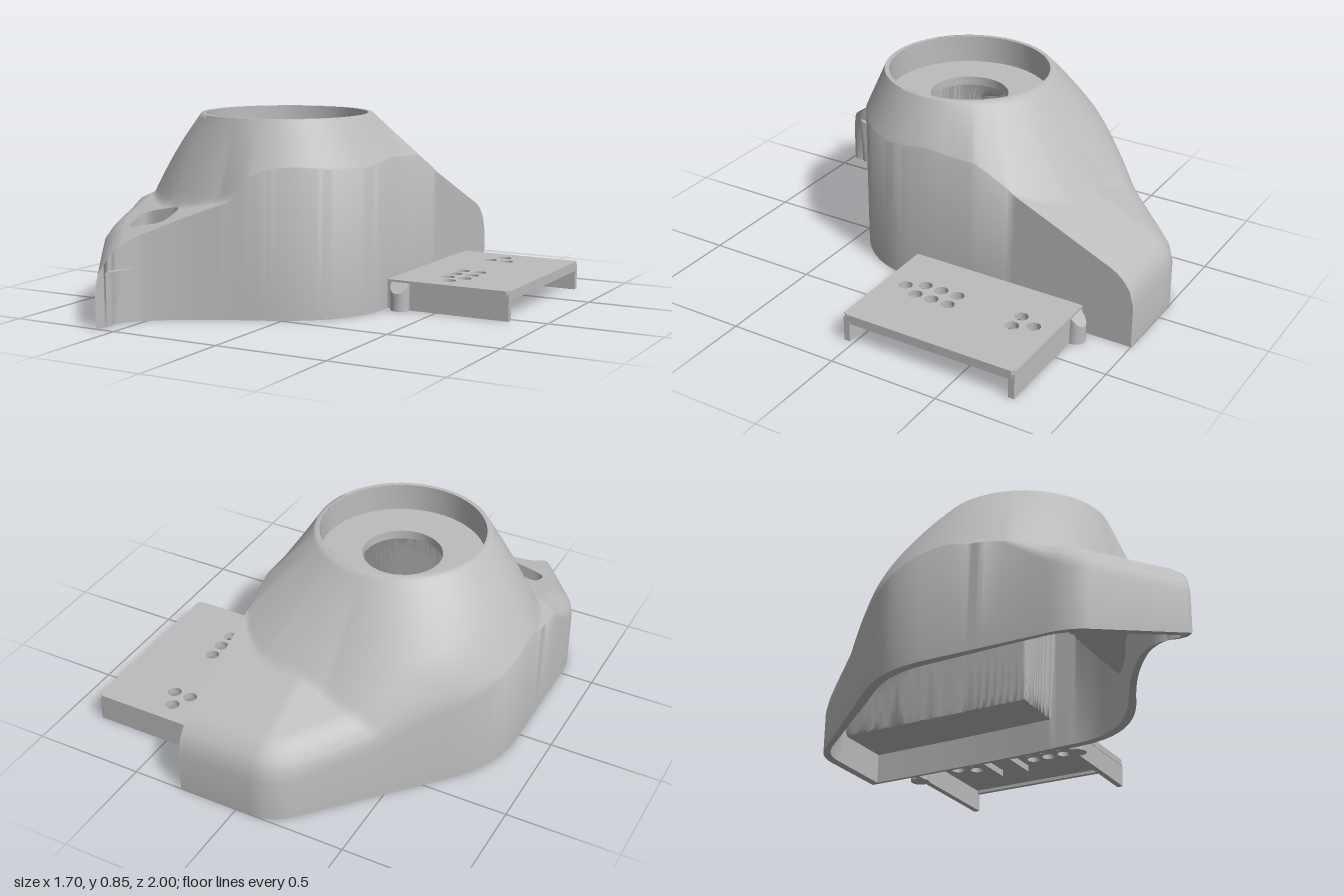
import * as THREE from 'three';
import { toCreasedNormals } from 'three/addons/utils/BufferGeometryUtils.js';

const CX = -0.22, CZ = 0.08;            // axis of the round collar
const LIP = 0.38, BORE = 0.36, HOLE = 0.175, TOP = 0.845;
const slot = { x: -0.565, z: 0.62, a: 0.1, b: 0.07 };
const { smoothstep, mapLinear, lerp, clamp, radToDeg, degToRad } = THREE.MathUtils;

// Cone steepness by angle around the collar axis (degrees, 90 = front)
const SLOPES = [[-180, 1.44], [-135, 1.25], [-90, 1.25], [-65, 1], [-45, 0.88], [-33, 0.95], [-20, 1.37], [0, 1.77],
  [30, 2.05], [80, 2.35], [95, 3.1], [127, 2.2], [158, 1.6], [180, 1.44]];

function slopeAt(deg) {
  let i = 1;
  while (i < SLOPES.length - 1 && deg > SLOPES[i][0]) i++;
  const [a, s] = SLOPES[i - 1], [b, t] = SLOPES[i];
  return mapLinear(deg, a, b, s, t);
}

// Plan outline as (x, z); records where the tail tip and the right wall begin
function makeOutline() {
  const p = new THREE.Path();
  p.moveTo(0.27, -1);
  p.lineTo(-0.07, -1);
  p.quadraticCurveTo(-0.17, -1, -0.24, -0.92);
  p.lineTo(-0.68, -0.43);
  p.bezierCurveTo(-0.79, -0.31, -0.85, -0.2, -0.85, -0.02);
  p.lineTo(-0.85, 0.52);
  p.quadraticCurveTo(-0.85, 0.61, -0.8, 0.68);
  p.lineTo(-0.595, 0.995);
  p.lineTo(-0.572, 0.965);
  p.bezierCurveTo(-0.6, 0.9, -0.56, 0.82, -0.5, 0.77);
  p.bezierCurveTo(-0.4, 0.69, -0.3, 0.63, -0.12, 0.55);
  p.bezierCurveTo(0.1, 0.46, 0.27, 0.33, 0.27, 0.08);
  p.lineTo(0.27, -1);
  const points = [];
  let tip = 0, right = 0;
  p.curves.forEach((c, k) => {
    if (k === 7) tip = points.length;
    if (k === 11) right = points.length;
    points.push(...c.getSpacedPoints(Math.ceil(c.getLength() / 0.02)).slice(0, -1));
  });
  return { points, tip, right };
}

const { points: outline, tip, right } = makeOutline();
const softEdge = outline.slice(0, tip + 1);   // back and left edges are rounded over

// Height of the outer skin: cone or sloping deck, less the edge rounding
function skin(x, z) {
  const dx = x - CX, dz = z - CZ, r = Math.hypot(dx, dz);
  const fall = Math.max(0, slopeAt(radToDeg(Math.atan2(dz, dx))) * (r - LIP));
  const bulge = 0.025 * Math.max(0, -dx / r) * Math.sin(Math.PI * clamp(fall / 0.36, 0, 1));
  const cone = TOP - fall + bulge;
  const front = 0.42 - 0.37 * (z - 0.62) + 0.2 * (x + 0.56);
  const back = 0.47 + 0.45 * (z + 0.62) + 0.25 * Math.min(0, x + 0.1);
  const deck = Math.min(front, back, 0.47 + 0.17 * Math.max(0, x + 0.5));
  let d = 1;
  for (const p of softEdge) d = Math.min(d, Math.hypot(x - p.x, z - p.y));
  const R = 0.11, k = Math.max(0, 1 - d / R);
  const amount = 0.105 * smoothstep(Math.abs(z - 0.05), 0.1, 0.55);
  return Math.max(cone, deck) - amount * (1 - Math.sqrt(1 - k * k));
}

// Underside: follows the skin, but drops to flat ceilings in the tail and beside the tray
function lining(x, z) {
  const open = Math.min(skin(x, z) - 0.04, 0.68);
  const tail = lerp(open, Math.min(open, 0.23), smoothstep(z, 0.35, 0.37));
  const side = smoothstep(x, -0.05, -0.03) * (1 - smoothstep(z, -0.02, 0));
  return lerp(tail, Math.min(tail, 0.14), side);
}

const slotNorm = (x, z) =>
  Math.pow(((x - slot.x) / slot.a) ** 4 + ((z - slot.z) / slot.b) ** 4, 0.25);

// Mesh from rows of points, with the cells over the slot left out
function gridGeometry(rows) {
  const n = rows[0].length, cut = (p) => p.y > 0 && slotNorm(p.x, p.z) < 1;
  const index = [], snap = new Set();
  for (let j = 0; j < rows.length - 1; j++) {
    for (let i = 0; i < n; i++) {
      const k = (i + 1) % n;
      const cell = [rows[j][i], rows[j + 1][i], rows[j + 1][k], rows[j][k]];
      if (cell.some(cut)) {
        cell.forEach((p) => { if (!cut(p)) snap.add(p); });
        continue;
      }
      const a = j * n + i, b = a + n, c = (j + 1) * n + k, d = j * n + k;
      index.push(a, b, d, b, c, d);
    }
  }
  for (const p of snap) {
    const q = slotNorm(p.x, p.z);
    p.x = slot.x + (p.x - slot.x) / q;
    p.z = slot.z + (p.z - slot.z) / q;
    p.y = p.height(p.x, p.z);
  }
  const g = new THREE.BufferGeometry();
  g.setAttribute('position', new THREE.Float32BufferAttribute(rows.flat().flatMap((p) => [p.x, p.y, p.z]), 3));
  g.setIndex(index);
  return toCreasedNormals(g, 1.1);
}

// Shell: collar lip, outer skin, wall, bottom rim, then lining back to the hole
function shellGeometry() {
  const n = outline.length, N = 40, inset = 0.04;
  const startAngle = (i) => degToRad(i < tip ? mapLinear(i, 0, tip, -66, -210)
    : i < right ? mapLinear(i, tip, right, -210, -360) : mapLinear(i, right, n, -360, -426));
  const at = (i, r) => [CX + r * Math.cos(startAngle(i)), CZ + r * Math.sin(startAngle(i))];
  const toEdge = (i, t, r0, gap) => {
    const [sx, sz] = at(i, r0), p = outline[i];
    const f = t * (1 - gap / Math.hypot(p.x - sx, p.y - sz));
    return [sx + (p.x - sx) * f, sz + (p.y - sz) * f];
  };
  const row = (place, height) => outline.map((_, i) => {
    const [x, z] = place(i);
    return { x, z, y: height(x, z), height };
  });
  const ground = () => 0;
  const rows = [row((i) => at(i, BORE), () => TOP)];
  for (let j = 0; j <= N; j++) rows.push(row((i) => toEdge(i, j / N, LIP, 0), skin));
  rows.push(row((i) => toEdge(i, 1, LIP, 0), ground));
  rows.push(row((i) => toEdge(i, 1, LIP, inset), ground));
  for (let j = N; j >= 0; j--) rows.push(row((i) => toEdge(i, j / N, HOLE, inset), lining));
  return gridGeometry(rows);
}

// Side wall of the rounded slot
function slotWallGeometry() {
  const loop = (height) => Array.from({ length: 48 }, (_, i) => {
    const a = i / 48 * Math.PI * 2, q = (Math.cos(a) ** 4 + Math.sin(a) ** 4) ** 0.25;
    const x = slot.x + slot.a * Math.cos(a) / q, z = slot.z + slot.b * Math.sin(a) / q;
    return [x, height(x, z), z];
  });
  const g = new THREE.BufferGeometry(), index = [];
  g.setAttribute('position', new THREE.Float32BufferAttribute([...loop(skin), ...loop(lining)].flat(), 3));
  for (let i = 0; i < 48; i++) {
    const k = (i + 1) % 48;
    index.push(i, k, i + 48, k, k + 48, i + 48);
  }
  g.setIndex(index);
  g.computeVertexNormals();
  return g;
}

export function createModel() {
  const model = new THREE.Group();
  const grey = new THREE.MeshStandardMaterial({ color: 0xbcbcbc, side: THREE.DoubleSide });
  grey.name = 'grey plastic';
  const add = (name, geometry, x = 0, y = 0, z = 0) => {
    const mesh = new THREE.Mesh(geometry, grey);
    mesh.name = name;
    mesh.position.set(x, y, z);
    model.add(mesh);
  };
  const box = (name, x0, x1, y0, y1, z0, z1) =>
    add(name, new THREE.BoxGeometry(x1 - x0, y1 - y0, z1 - z0), (x0 + x1) / 2, (y0 + y1) / 2, (z0 + z1) / 2);

  add('housingShell', shellGeometry());
  add('slotWall', slotWallGeometry());

  // Recess in the collar with a through hole
  const recess = [[BORE, TOP], [BORE, 0.72], [HOLE, 0.72], [HOLE, 0.68]].map((p) => new THREE.Vector2(...p));
  add('collarRecess', toCreasedNormals(new THREE.LatheGeometry(recess, 64), 0.6), CX, 0, CZ);

  // Side tray: perforated top with folded-down lips
  const plate = new THREE.Shape([[0.26, -0.77], [0.83, -0.77], [0.845, -0.755], [0.845, 0.035], [0.83, 0.05], [0.26, 0.05]]
    .map((p) => new THREE.Vector2(...p)));
  const holes = [[0.52, -0.675], [0.52, -0.05]];
  for (const z of [-0.595, -0.285, -0.205, -0.125]) holes.push([0.48, z], [0.56, z]);
  for (const [x, z] of holes) plate.holes.push(new THREE.Path().absarc(x, z, 0.03, 0, Math.PI * 2, true));
  const top = new THREE.ExtrudeGeometry(plate, { depth: 0.03, bevelEnabled: false, curveSegments: 16 });
  top.rotateX(Math.PI / 2);
  add('trayTop', toCreasedNormals(top, 0.6), 0, 0.13, 0);
  box('trayFrontLip', 0.26, 0.842, 0, 0.115, 0.02, 0.048);
  box('trayBackLip', 0.26, 0.842, 0, 0.115, -0.768, -0.74);
  box('trayEndLip', 0.82, 0.84, 0.085, 0.11, -0.75, 0.03);
  for (const z of [-0.5, -0.36]) box('trayRib', 0.42, 0.62, 0.07, 0.105, z - 0.015, z + 0.015);

  // Round pegs on both tray sides, their tops sloping outward
  for (const side of [-1, 1]) {
    const peg = new THREE.CylinderGeometry(0.043, 0.043, 0.12, 24);
    const pos = peg.attributes.position;
    for (let i = 0; i < pos.count; i++) {
      if (pos.getY(i) > 0) pos.setY(i, 0.06 - Math.max(0, pos.getZ(i) * side));
    }
    add('trayPeg', toCreasedNormals(peg, 0.6), 0.335, 0.06, side > 0 ? 0.055 : -0.775);
  }
  return model;
}
